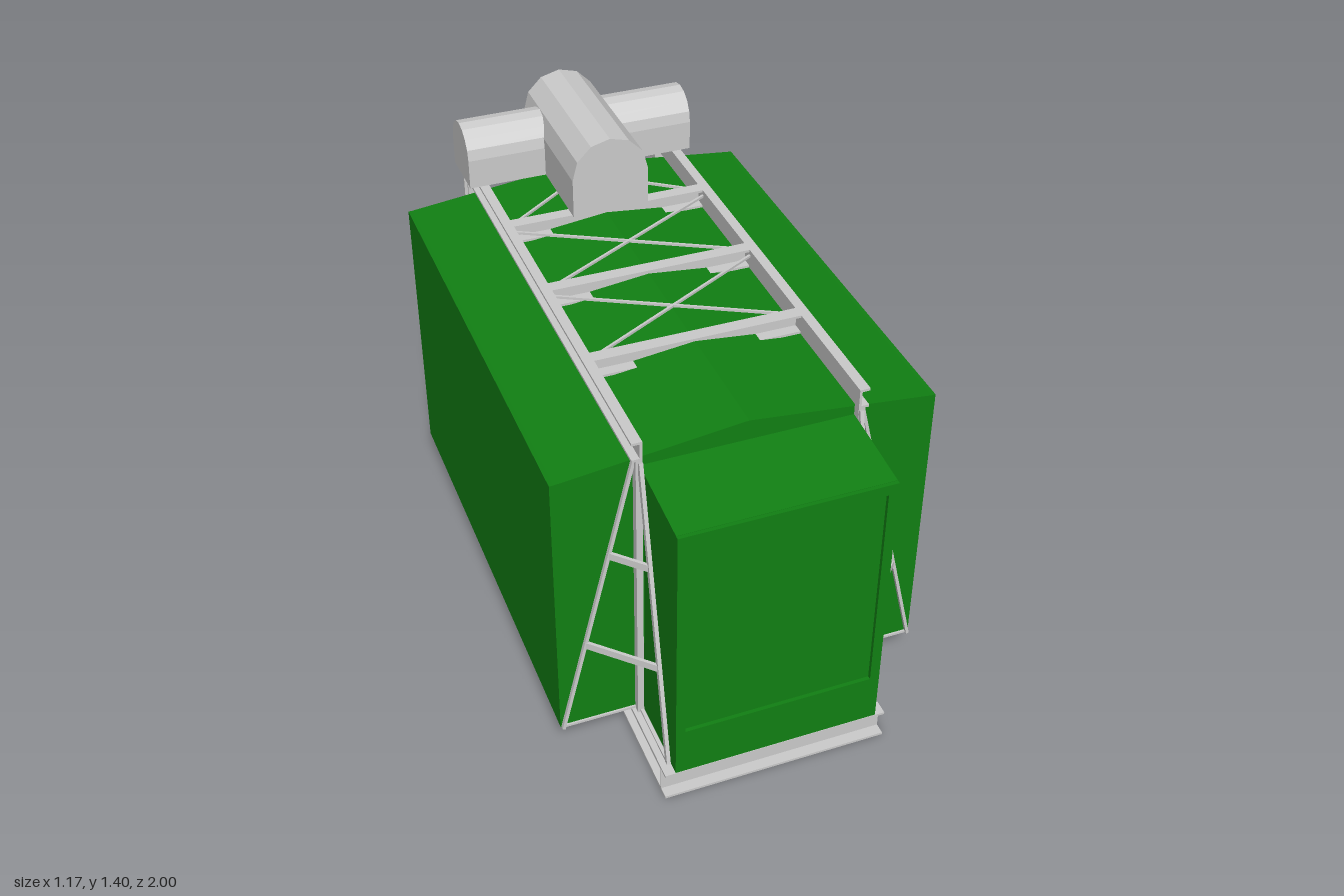
import * as THREE from 'three';

const grey = new THREE.MeshStandardMaterial({ color: 0xcccccc, flatShading: true });
const green = new THREE.MeshStandardMaterial({ color: 0x118013, flatShading: true });

export function createModel() {
  const root = new THREE.Group();
  root.name = 'skidMountedEnclosure';

  const add = (name, geo, mat, parent = root) => {
    const m = new THREE.Mesh(geo, mat);
    m.name = name;
    parent.add(m);
    return m;
  };
  // Box given by its two extreme corners
  const box = (name, x0, x1, y0, y1, z0, z1, mat = grey, parent = root) =>
    add(name, new THREE.BoxGeometry(Math.abs(x1 - x0), y1 - y0, Math.abs(z1 - z0)), mat, parent)
      .position.set((x0 + x1) / 2, (y0 + y1) / 2, (z0 + z1) / 2);
  // Straight bar between two points
  const bar = (name, a, b, w, h, parent = root) => {
    const A = new THREE.Vector3(...a), B = new THREE.Vector3(...b);
    const m = add(name, new THREE.BoxGeometry(w, h, A.distanceTo(B)), grey, parent);
    m.position.copy(A).add(B).multiplyScalar(0.5);
    m.lookAt(B);
  };
  const shapeOf = pts => new THREE.Shape(pts.map(p => new THREE.Vector2(...p)));
  const extrude = (shape, depth) => new THREE.ExtrudeGeometry(shape, { depth, bevelEnabled: false });
  const rectHole = (a0, a1, y0, y1) =>
    new THREE.Path([[a0, y0], [a0, y1], [a1, y1], [a1, y0]].map(p => new THREE.Vector2(...p)));

  // Wall panel drawn in (z, y), facing x, with cut-out recesses
  const R = 0.012; // recess depth
  const sideWall = (name, side, xOuter, outline, holes) => {
    const shape = shapeOf(outline.map(([z, y]) => [-z, y]));
    holes.forEach(([z0, z1, y0, y1]) => shape.holes.push(rectHole(-z1, -z0, y0, y1)));
    const g = extrude(shape, R);
    g.rotateY(Math.PI / 2);
    add(name, g, green).position.x = side > 0 ? xOuter - R : -xOuter;
  };

  // Main housing with low gable roof
  const HW = 0.585, Y0 = 0.1, EAVE = 1.045, ZF = 0.71, ZB = -0.825;
  const c = HW - R;
  const housing = extrude(shapeOf([[-c, Y0], [c, Y0], [c, EAVE], [0, 1.11], [-c, EAVE]]), ZF - ZB);
  add('housing', housing, green).position.z = ZB;
  const outline = [[ZB, Y0], [ZF, Y0], [ZF, EAVE], [ZB, EAVE]];
  const rearWindow = [-0.695, -0.33, 0.42, 0.85];
  sideWall('leftHousingWall', 1, HW, outline, [rearWindow, [0.215, 0.48, 0.13, 0.72]]);
  sideWall('rightHousingWall', -1, HW, outline, [rearWindow, [0.41, 0.64, 0.42, 0.85]]);

  // Front cabin with sloping roof
  const CW = 0.325;
  const cabinProfile = zf => [[0.7, Y0], [zf, Y0], [zf, 1.045 - (zf - 0.7) * 0.1], [0.7, 1.045]];
  const core = extrude(shapeOf(cabinProfile(1 - R).map(([z, y]) => [-z, y]).reverse()), 2 * (CW - R));
  core.rotateY(Math.PI / 2);
  add('cabin', core, green).position.x = -(CW - R);
  for (const s of [1, -1])
    sideWall('cabinSideWall', s, CW, cabinProfile(1 - R), [[0.73, 0.97, 0.39, 0.85]]);
  const front = shapeOf([[-CW, Y0], [CW, Y0], [CW, 1.015], [-CW, 1.015]]);
  front.holes.push(rectHole(-0.295, 0.295, 0.265, 0.98));
  add('cabinFrontWall', extrude(front, R), green).position.z = 1 - R;

  // Channel beams opening outward: web on the inside, two flanges
  const T = 0.008, XI = 0.325, XO = 0.357;
  const channelZ = (name, s, y0, y1, z0, z1) => {
    const g = new THREE.Group();
    g.name = name;
    root.add(g);
    box('web', s * XI, s * (XI + T), y0, y1, z0, z1, grey, g);
    box('bottomFlange', s * XI, s * XO, y0, y0 + T, z0, z1, grey, g);
    box('topFlange', s * XI, s * XO, y1 - T, y1, z0, z1, grey, g);
  };
  const channelX = (name, half, y0, y1, zWeb, dir, width = 0.035) => {
    const g = new THREE.Group();
    g.name = name;
    root.add(g);
    box('web', -half, half, y0, y1, zWeb, zWeb - dir * T, grey, g);
    box('bottomFlange', -half, half, y0, y0 + T, zWeb - dir * T, zWeb + dir * width, grey, g);
    box('topFlange', -half, half, y1 - T, y1, zWeb - dir * T, zWeb + dir * width, grey, g);
  };

  // Base skid and top frame
  const TOP0 = 1.08, TOP1 = 1.145;
  for (const s of [1, -1]) {
    channelZ('baseSideBeam', s, 0, 0.098, -0.965, 0.965);
    channelX('baseEndBeam', XO, 0, 0.098, s * 0.965, s);
    channelZ('topSideBeam', s, TOP0, TOP1, -0.965, 0.735);
  }
  channelX('topRearBeam', XO, TOP0, TOP1, -0.965, -1);
  const crossZ = [-0.465, -0.07, 0.32];
  crossZ.forEach(z => channelX('roofCrossBeam', XI, TOP0, TOP1, z - 0.0175, 1));

  // Roof cross bracing
  const bays = [[-0.96, -0.485], [-0.445, -0.09], [-0.05, 0.3]];
  for (const [z0, z1] of bays)
    for (const s of [1, -1])
      bar('roofBrace', [-s * XI, 1.125, z0], [s * XI, 1.125, z1], 0.008, 0.008);

  // Posts and the tapering front trusses
  for (const s of [1, -1]) {
    box('rearPostWeb', s * XI, s * (XI + T), 0.09, TOP0, -0.955, -0.895);
    for (const z of [-0.955, -0.895 - T])
      box('rearPostFlange', s * XI, s * XO, 0.09, TOP0, z, z + T);
    box('frontPost', s * XI, s * 0.345, 0.09, TOP0, 0.71, 0.735);

    const apex = 1.075, foot = 0.1;
    const at = y => (apex - y) / (apex - foot);
    const outX = y => s * (0.345 + 0.233 * at(y));
    const outZ = y => 0.735 + 0.22 * at(y);
    bar('outerTrussLeg', [outX(apex), apex, 0.714], [outX(foot), foot, 0.714], 0.018, 0.01);
    bar('forwardTrussLeg', [s * 0.332, apex, outZ(apex)], [s * 0.332, foot, outZ(foot)], 0.012, 0.018);
    for (const y of [0.75, 0.425])
      bar('trussStrut', [outX(y), y, 0.716], [s * 0.332, y, outZ(y)], 0.01, 0.024);
    box('trussFootRail', s * 0.34, s * 0.58, 0.1, 0.108, 0.708, 0.716);
    box('trussFootRail', s * XI, s * 0.337, 0.1, 0.108, 0.73, 0.955);
  }

  // Rear cross bracing with gusset plates
  const levels = [0.13, 0.585, 1.05], zb = -0.957;
  for (let i = 0; i < 2; i++)
    for (const s of [1, -1])
      bar('rearBrace', [-s * 0.32, levels[i] + 0.02, zb], [s * 0.32, levels[i + 1] - 0.02, zb], 0.008, 0.01);
  bar('rearMiddleStrut', [-0.32, levels[1], zb], [0.32, levels[1], zb], 0.008, 0.01);
  for (const s of [1, -1])
    levels.forEach(y => box('gussetPlate', s * 0.285, s * 0.35, y - 0.04, y + 0.04, zb - 0.005, zb));

  // Arched roof ducts: one lengthwise, one crosswise
  const arch = (r, top, segments) => {
    const pts = [[-r, TOP1], [r, TOP1]];
    for (let i = 0; i <= segments; i++) {
      const a = Math.PI * i / segments;
      pts.push([r * Math.cos(a), top - r + r * Math.sin(a)]);
    }
    return shapeOf(pts);
  };
  add('mainDuct', extrude(arch(0.128, 1.405, 6), 0.52), grey).position.z = -0.955;
  const cross = extrude(arch(0.095, 1.34, 8), 0.78);
  cross.rotateY(Math.PI / 2);
  add('crossDuct', cross, grey).position.set(-0.39, 0, -0.825);

  return root;
}
